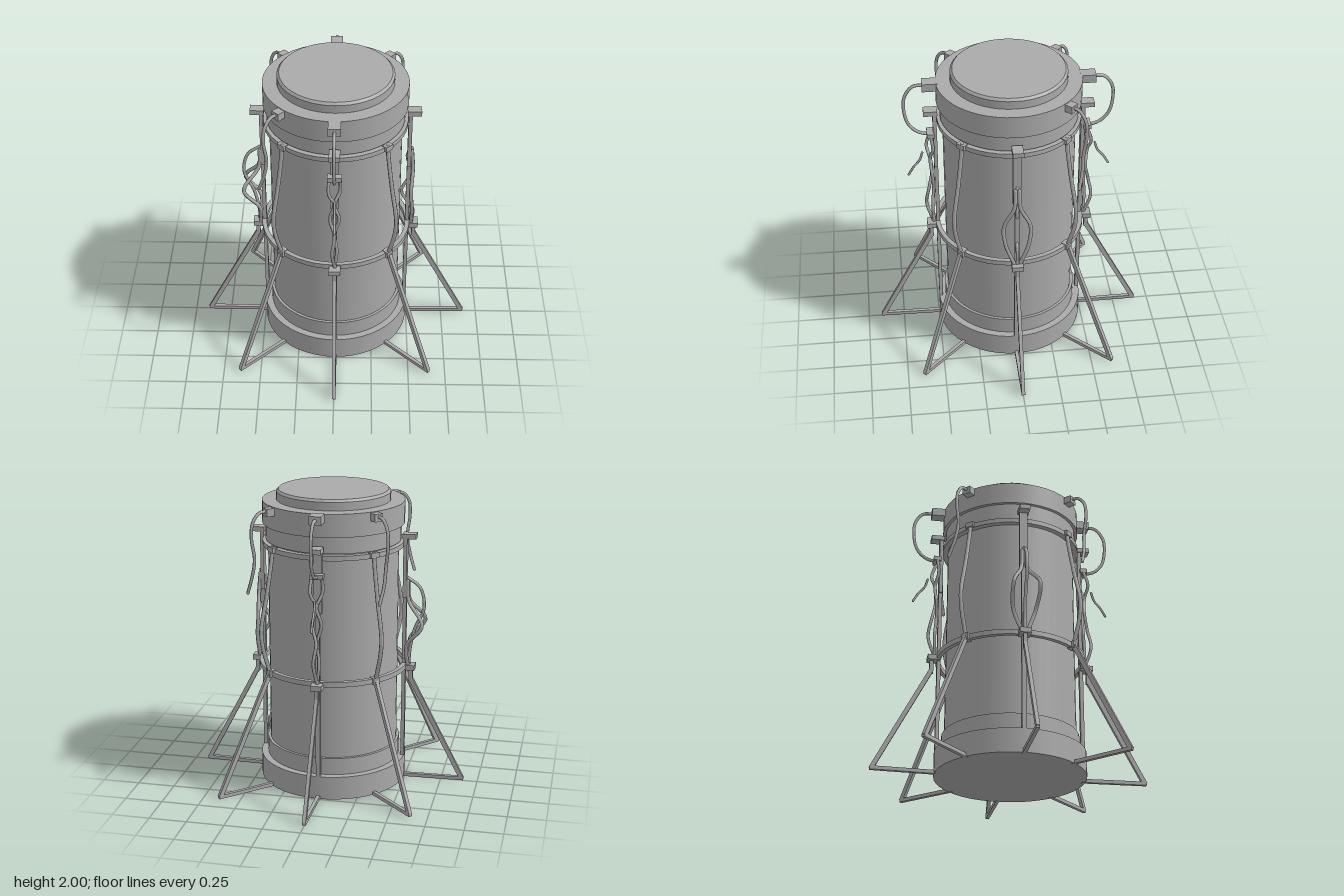
import * as THREE from 'three';

const steel = new THREE.MeshStandardMaterial({ color: 0xaaaaaa });
steel.name = 'steel grey';

const V = (x, y, z = 0) => new THREE.Vector3(x, y, z);

function add(parent, name, geometry) {
  const mesh = new THREE.Mesh(geometry, steel);
  mesh.name = name;
  parent.add(mesh);
  return mesh;
}

function box(parent, name, w, h, d, x, y, z = 0) {
  add(parent, name, new THREE.BoxGeometry(w, h, d)).position.set(x, y, z);
}

// Straight square bar between two points of the radial plane
function bar(parent, name, a, b, w, d) {
  const dir = b.clone().sub(a);
  const mesh = add(parent, name, new THREE.BoxGeometry(w, dir.length(), d));
  mesh.position.copy(a).lerp(b, 0.5);
  mesh.quaternion.setFromUnitVectors(V(0, 1), dir.normalize());
}

// Smooth cable through [radius, height, sideways] points, closed by end balls
function cable(parent, name, points, r = 0.011) {
  const pts = points.map(p => V(...p));
  add(parent, name, new THREE.TubeGeometry(new THREE.CatmullRomCurve3(pts), 28, r, 7));
  for (const p of [pts[0], pts[pts.length - 1]])
    add(parent, name + 'End', new THREE.SphereGeometry(r, 7, 5)).position.copy(p);
}

// Group turned so that its local +x points outwards
function spoke(parent, name, angle) {
  const g = new THREE.Group();
  g.name = name;
  g.rotation.y = angle;
  parent.add(g);
  return g;
}

// Flat hoop with a rectangular section
function hoop(parent, name, inner, outer, y, h) {
  const p = [[inner, -h / 2], [outer, -h / 2], [outer, h / 2], [inner, h / 2], [inner, -h / 2]];
  const geo = new THREE.LatheGeometry(p.map(q => new THREE.Vector2(...q)), 48).toNonIndexed();
  geo.computeVertexNormals();
  add(parent, name, geo).position.y = y;
}

export function createModel() {
  const model = new THREE.Group();
  model.name = 'canister';

  // Stacked drums: [name, radius, bottom, top]
  const drums = [
    ['basePlinth', 0.495, 0.006, 0.165],
    ['baseStep', 0.45, 0.165, 0.28],
    ['barrel', 0.432, 0.28, 1.69],
    ['neck', 0.447, 1.67, 1.78],
    ['collar', 0.468, 1.78, 1.93],
  ];
  for (const [name, r, y0, y1] of drums)
    add(model, name, new THREE.CylinderGeometry(r, r, y1 - y0, 48)).position.y = (y0 + y1) / 2;

  // Lid with a small bevelled rim
  add(model, 'lid', new THREE.CylinderGeometry(0.375, 0.375, 0.055, 48)).position.y = 1.957;
  add(model, 'lidBevel', new THREE.CylinderGeometry(0.36, 0.375, 0.016, 48)).position.y = 1.992;

  hoop(model, 'lowerHoop', 0.47, 0.5, 0.815, 0.034);
  hoop(model, 'upperHoop', 0.43, 0.468, 1.645, 0.032);

  for (let i = 0; i < 8; i++) {
    const square = i % 2 === 0;
    const g = spoke(model, 'supportSpoke' + (i + 1), i * Math.PI / 4);

    // Sloping leg and its foot bar
    const top = square ? V(0.53, 0.72) : V(0.505, 0.81);
    bar(g, 'leg', top, V(0.895, 0.02), 0.03, 0.024);
    bar(g, 'foot', V(0.47, 0.016), V(0.905, 0.022), 0.024, 0.024);

    if (square) {
      // Upright rod with top bracket and hoop clamp
      box(g, 'uprightRod', 0.025, 1.54, 0.03, 0.482, 0.93);
      box(g, 'topBracket', 0.09, 0.032, 0.07, 0.508, 1.705);
      box(g, 'bracketPlate', 0.025, 0.42, 0.055, 0.482, 1.5);
      box(g, 'hoopClamp', 0.085, 0.035, 0.075, 0.515, 0.805);
      bar(g, 'clampLink', V(0.53, 0.80), V(0.53, 0.70), 0.026, 0.026);
    } else {
      // Bowed strap between the hoops
      cable(g, 'strap', [[0.465, 1.66], [0.48, 1.55], [0.515, 1.35], [0.56, 1.12],
        [0.55, 1.0], [0.5, 0.82]], 0.014);
      box(g, 'strapClamp', 0.05, 0.045, 0.05, 0.49, 0.815);
      box(g, 'strapHead', 0.04, 0.035, 0.06, 0.465, 1.65);
    }
  }

  // Wire loops hanging in front of the side rods
  for (const [name, angle, bulge] of [['leftLoop', 0, 0.5], ['rightLoop', Math.PI, 0.61]]) {
    const g = spoke(model, name, angle);
    for (const s of [-1, 1])
      cable(g, 'loopWire', [[0.5, 1.4, s * 0.012], [0.51, 1.27, s * 0.02],
        [bulge, 1.12, s * 0.085], [0.51, 0.98, s * 0.075], [0.51, 0.82, s * 0.02]], 0.013);
    cable(g, 'outerWire', [[0.5, 1.42], [bulge - 0.03, 1.36], [bulge, 1.22],
      [bulge - 0.06, 1.07], [0.52, 0.92], [0.515, 0.82]]);
  }

  // Front and back: plug, arching cable, twisted wires and loose tail
  for (const [name, angle] of [['frontCable', -Math.PI / 2], ['backCable', Math.PI / 2]]) {
    const g = spoke(model, name, angle);
    box(g, 'plug', 0.1, 0.055, 0.08, 0.505, 1.905);
    cable(g, 'archCable', [[0.54, 1.905], [0.61, 1.9], [0.665, 1.83], [0.675, 1.73],
      [0.65, 1.62], [0.59, 1.555], [0.5, 1.53]]);
    box(g, 'cableSocket', 0.05, 0.03, 0.09, 0.51, 1.54);
    for (const s of [-1, 1])
      cable(g, 'twistedWire', [[0.51, 1.53, s * 0.035], [0.52 + s * 0.02, 1.43, s * 0.035],
        [0.52, 1.34, 0], [0.51, 1.22, s * 0.03], [0.52 + s * 0.015, 1.1, 0],
        [0.535 + s * 0.02, 0.97, s * 0.015], [0.51, 0.82, 0]]);
    cable(g, 'looseTail', [[0.57, 1.39], [0.59, 1.33], [0.63, 1.28], [0.665, 1.22]], 0.008);
  }

  // Hanging cables on three of the corners
  for (const [name, turn] of [['backLeftCable', 1], ['backRightCable', 3], ['frontRightCable', 5]]) {
    const g = spoke(model, name, turn * Math.PI / 4);
    box(g, 'plug', 0.07, 0.05, 0.06, 0.485, 1.9);
    cable(g, 'hangingCable', [[0.5, 1.905], [0.56, 1.9], [0.61, 1.84], [0.62, 1.74],
      [0.6, 1.6], [0.61, 1.48, 0.02], [0.62, 1.37, 0.06]]);
  }

  return model;
}
